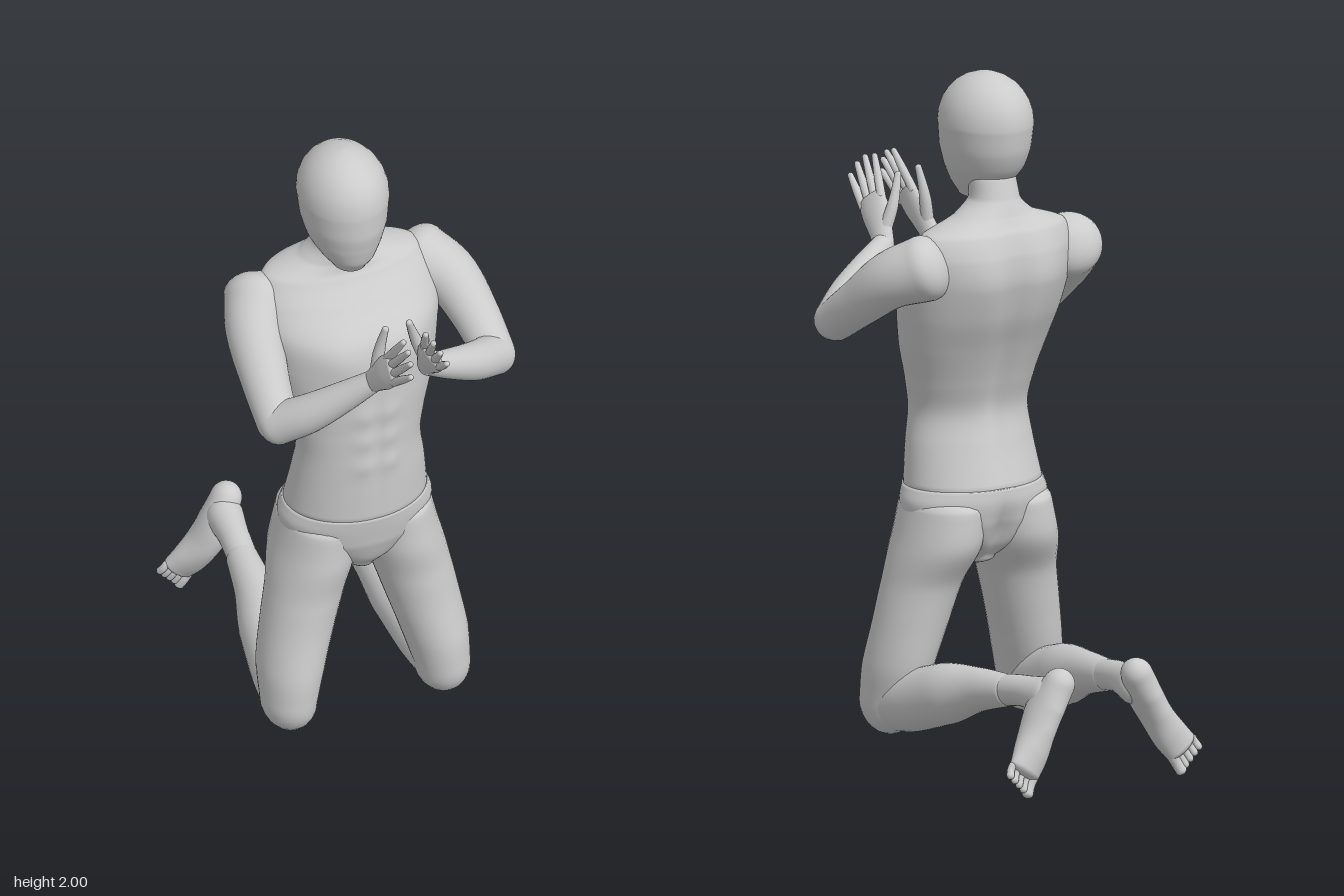
import * as THREE from 'three';

const material = new THREE.MeshStandardMaterial({ color: 0xcccccc });
const V = (x, y, z) => new THREE.Vector3(x, y, z);
const UP = V(0, 1, 0);
const MID = -0.035; // the body's middle line
const bell = (d, w) => Math.exp(-(d * d) / (w * w));

// Smooth tube through sections [x, y, z, ru, rv], with rounded ends.
// rv is measured along ref, ru across it; axis fixes the ring plane.
function loft(name, sections, { ref = V(0, 0, 1), axis = null, caps = [0.03, 0.03], sides = 32, steps = 6, shape = null } = {}) {
  const path = new THREE.CatmullRomCurve3(sections.map(s => V(s[0], s[1], s[2])));
  const radii = new THREE.CatmullRomCurve3(sections.map(s => V(s[3], s[4] ?? s[3], 0)));
  const rings = [];
  const addRing = (t, push, scale) => {
    const T = axis ?? path.getTangent(t);
    const r = radii.getPoint(t);
    const u = ref.clone().cross(T).normalize();
    const v = T.clone().cross(u);
    rings.push({ c: path.getPoint(t).addScaledVector(T, push), u: u.multiplyScalar(r.x * scale), v: v.multiplyScalar(r.y * scale) });
  };
  const K = 7, n = (sections.length - 1) * steps;
  for (let i = K; i > 0; i--) {
    const a = (i / K) * Math.PI / 2;
    addRing(0, -caps[0] * Math.sin(a), Math.max(Math.cos(a), 0.001));
  }
  for (let i = 0; i <= n; i++) addRing(i / n, 0, 1);
  for (let i = 1; i <= K; i++) {
    const a = (i / K) * Math.PI / 2;
    addRing(1, caps[1] * Math.sin(a), Math.max(Math.cos(a), 0.001));
  }
  const pos = [], index = [];
  rings.forEach(({ c, u, v }, i) => {
    for (let j = 0; j < sides; j++) {
      const a = (j / sides) * Math.PI * 2;
      const p = c.clone().addScaledVector(u, Math.cos(a)).addScaledVector(v, Math.sin(a));
      if (shape) shape(p, Math.sin(a));
      pos.push(p.x, p.y, p.z);
      if (i < rings.length - 1) {
        const k = (j + 1) % sides, A = i * sides, B = A + sides;
        index.push(A + j, A + k, B + k, A + j, B + k, B + j);
      }
    }
  });
  const g = new THREE.BufferGeometry();
  g.setAttribute('position', new THREE.Float32BufferAttribute(pos, 3));
  g.setIndex(index);
  g.computeVertexNormals();
  const mesh = new THREE.Mesh(g, material);
  mesh.name = name;
  return mesh;
}

// Upright body from horizontal slices [y, xMin, xMax, zMin, zMax]
const slices = rows => rows.map(([y, x0, x1, z0, z1]) => [(x0 + x1) / 2, y, (z0 + z1) / 2, (x1 - x0) / 2, (z1 - z0) / 2]);

// Chest, belly and back relief
function torsoRelief(p, s) {
  const d = p.x - MID, y = p.y;
  if (s < 0) {
    p.z += -s * 0.03 * bell(d, 0.04) * bell(y - 1.2, 0.32);
    for (const m of [-1, 1]) p.z += s * 0.014 * bell(d - m * 0.12, 0.07) * bell(y - 1.42, 0.12);
  } else {
    p.z -= s * 0.008 * bell(d, 0.015) * bell(y - 1.15, 0.25);
    for (const m of [-1, 1]) {
      p.z += s * 0.014 * bell(d - m * 0.11, 0.08) * bell(y - 1.36, 0.07);
      for (const row of [0.98, 1.07, 1.16]) p.z += s * 0.006 * bell(d - m * 0.04, 0.03) * bell(y - row, 0.03);
    }
  }
}

// Thigh, shin and foot; m = 1 for the left, -1 for the right
function leg(m, k) {
  const g = new THREE.Group();
  g.name = m > 0 ? 'leftLeg' : 'rightLeg';
  const at = rows => rows.map(([o, y, z, ...r]) => [MID + m * o, y, z < 0 ? z * k : z, ...r]);
  g.add(loft('thigh', at([
    [0.115, 0.72, 0.065, 0.115, 0.155], [0.132, 0.62, 0.068, 0.122, 0.158], [0.165, 0.5, 0.095, 0.115, 0.125],
    [0.195, 0.38, 0.11, 0.108, 0.118], [0.225, 0.25, 0.13, 0.098, 0.118], [0.24, 0.14, 0.152, 0.082, 0.1],
  ]), { axis: V(0, -1, 0), caps: [0.05, 0.1] }));
  g.add(loft('shin', at([
    [0.24, 0.13, 0.15, 0.075, 0.08], [0.225, 0.16, 0.04, 0.082, 0.092], [0.205, 0.205, -0.1, 0.08, 0.09],
    [0.185, 0.24, -0.23, 0.06, 0.066], [0.17, 0.262, -0.36, 0.047, 0.048],
  ]), { ref: UP, caps: [0.08, 0.02] }));
  g.add(loft('ankle', at([
    [0.17, 0.262, -0.35, 0.044, 0.046], [0.16, 0.275, -0.44, 0.045, 0.046], [0.147, 0.275, -0.54, 0.055, 0.06],
  ]), { ref: UP, caps: [0.01, 0.05] }));
  g.add(loft('foot', at([
    [0.13, 0.315, -0.575, 0.046, 0.05], [0.165, 0.25, -0.56, 0.048, 0.07], [0.2, 0.185, -0.568, 0.047, 0.064],
    [0.235, 0.125, -0.585, 0.054, 0.048], [0.265, 0.085, -0.6, 0.054, 0.032],
  ]), { caps: [0.05, 0.02] }));
  // Toes across the ball of the foot, big toe on the inner side
  for (let i = 0; i < 5; i++) {
    const w = -0.041 + i * 0.021, r = i ? 0.0115 : 0.017, len = i ? 0.056 - i * 0.006 : 0.058;
    const o = 0.27 + w * 0.85, y = 0.083 + w * 0.52;
    g.add(loft('toe', at([
      [o, y, -0.6, r], [o + len * 0.25, y - len * 0.4, -0.602, r], [o + len * 0.45, y - len * 0.8, -0.61, r],
    ]), { caps: [0.01, 0.012], sides: 12, steps: 3 }));
  }
  return g;
}

// Hand from the wrist: d runs along it, w towards the thumb
function hand(wrist, d, w) {
  const g = new THREE.Group();
  g.name = 'hand';
  d.normalize();
  w.addScaledVector(d, -w.dot(d)).normalize();
  const at = (a, b, ...r) => [...wrist.clone().addScaledVector(d, a).addScaledVector(w, b).toArray(), ...r];
  g.add(loft('palm', [at(-0.01, 0, 0.027, 0.032), at(0.04, 0.002, 0.026, 0.04), at(0.1, 0.002, 0.024, 0.05), at(0.15, 0, 0.017, 0.049)],
    { ref: w, caps: [0.01, 0.015], sides: 20 }));
  [0.105, 0.125, 0.13, 0.115].forEach((len, i) => {
    const b = -0.037 + i * 0.0245;
    g.add(loft('finger', [at(0.14, b, 0.0135), at(0.15 + len * 0.45, b * 1.2, 0.0125), at(0.15 + len, b * 1.4, 0.009)],
      { ref: w, caps: [0.01, 0.01], sides: 12, steps: 4 }));
  });
  g.add(loft('thumb', [at(0.035, 0.015, 0.02), at(0.085, 0.062, 0.018), at(0.125, 0.09, 0.014), at(0.17, 0.115, 0.01)],
    { ref: w.clone().cross(d), caps: [0.01, 0.01], sides: 12, steps: 4 }));
  return g;
}

function arm(name, upper, fore, d, w) {
  const g = new THREE.Group();
  g.name = name;
  g.add(loft('upperArm', upper, { ref: UP, caps: [0.07, 0.06] }));
  g.add(loft('forearm', fore, { ref: UP, caps: [0.055, 0.015] }));
  g.add(hand(V(...fore[fore.length - 1]), d, w));
  return g;
}

export function createModel() {
  const model = new THREE.Group();
  model.name = 'kneelingFigure';

  model.add(loft('torso', slices([
    [0.785, -0.25, 0.18, -0.09, 0.245], [0.9, -0.235, 0.165, -0.055, 0.247], [1.0, -0.225, 0.15, -0.035, 0.247],
    [1.1, -0.24, 0.17, -0.062, 0.245], [1.2, -0.268, 0.2, -0.1, 0.245], [1.3, -0.292, 0.222, -0.142, 0.238],
    [1.4, -0.31, 0.238, -0.165, 0.215], [1.49, -0.305, 0.235, -0.16, 0.14], [1.555, -0.275, 0.2, -0.135, 0.085],
    [1.595, -0.17, 0.085, -0.105, 0.07], [1.64, -0.128, 0.022, -0.082, 0.068], [1.7, -0.125, 0.015, -0.06, 0.075],
  ]), { axis: UP, caps: [0.004, 0.01], sides: 72, steps: 9, shape: torsoRelief }));

  model.add(loft('head', slices([
    [1.635, -0.112, -0.008, 0.03, 0.152], [1.67, -0.14, 0.018, -0.025, 0.178], [1.72, -0.168, 0.045, -0.075, 0.192],
    [1.78, -0.184, 0.063, -0.102, 0.203], [1.855, -0.192, 0.072, -0.112, 0.203],
  ]), { axis: UP, caps: [0.018, 0.145], sides: 48 }));

  // Pelvis with a cleft between the buttocks
  model.add(loft('pelvis', slices([
    [0.565, -0.09, 0.02, -0.01, 0.17], [0.61, -0.165, 0.095, -0.055, 0.205], [0.68, -0.255, 0.185, -0.085, 0.232],
    [0.74, -0.268, 0.198, -0.096, 0.242], [0.783, -0.254, 0.184, -0.093, 0.248],
  ]), {
    axis: UP, caps: [0.03, 0.004], sides: 56,
    shape: (p, s) => { if (s < 0) p.z -= s * 0.03 * bell(p.x - MID, 0.025) * bell(p.y - 0.64, 0.08); },
  }));

  model.add(leg(1, 0.96), leg(-1, 1));

  model.add(arm('leftArm',
    [[0.215, 1.47, -0.045, 0.098], [0.28, 1.43, 0.03, 0.085], [0.318, 1.35, 0.13, 0.071], [0.335, 1.275, 0.235, 0.062]],
    [[0.335, 1.272, 0.24, 0.063], [0.245, 1.32, 0.305, 0.058], [0.14, 1.38, 0.36, 0.045], [0.058, 1.428, 0.395, 0.033]],
    V(-0.17, 0.73, 0.66), V(-0.35, 0.62, -0.7)));
  model.add(arm('rightArm',
    [[-0.29, 1.47, -0.045, 0.098], [-0.33, 1.41, 0.03, 0.085], [-0.343, 1.31, 0.14, 0.071], [-0.345, 1.225, 0.235, 0.062]],
    [[-0.345, 1.222, 0.24, 0.063], [-0.275, 1.28, 0.3, 0.058], [-0.185, 1.36, 0.36, 0.045], [-0.117, 1.425, 0.405, 0.033]],
    V(0.13, 0.73, 0.66), V(0.05, 0.65, -0.72)));

  return model;
}
